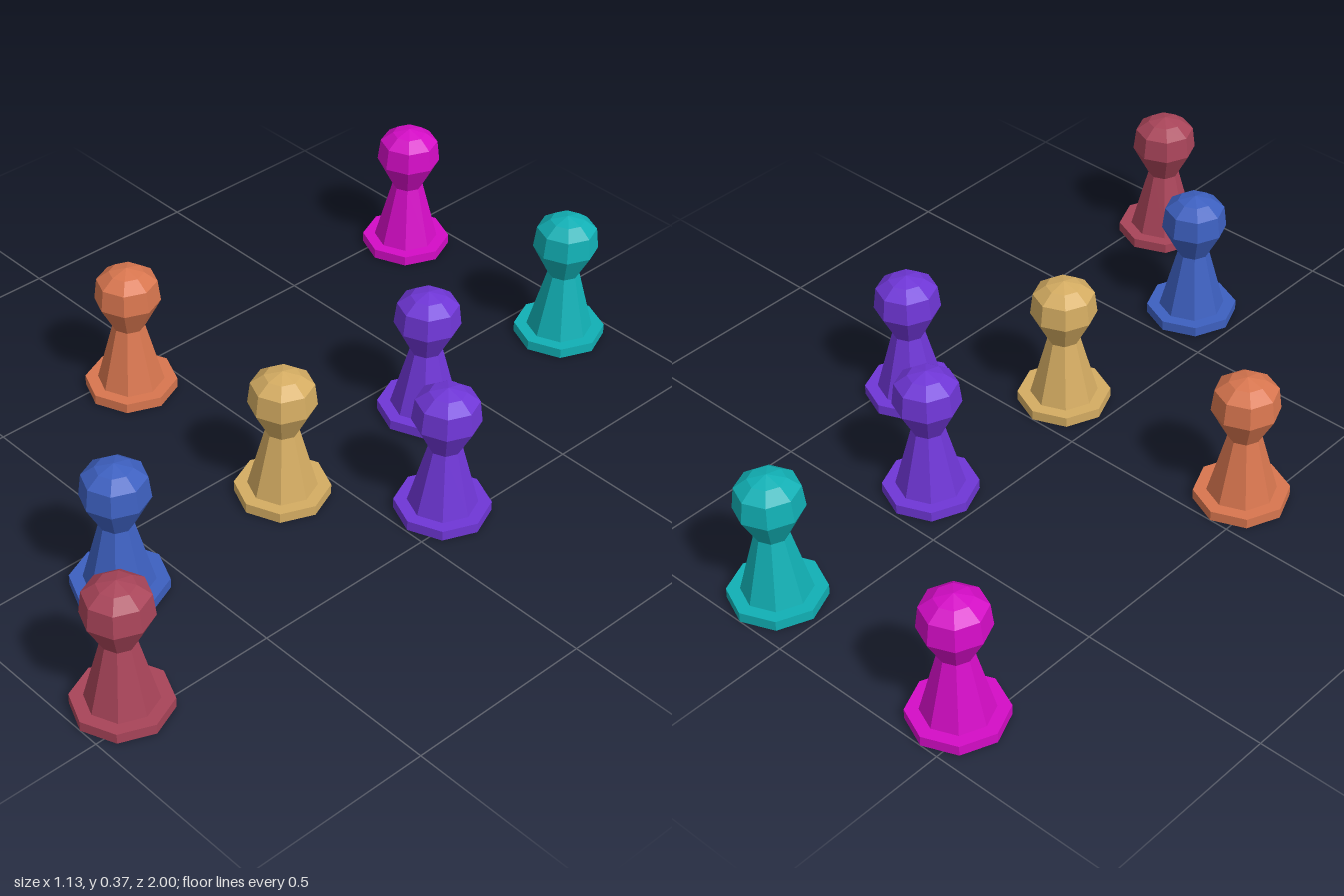
import * as THREE from 'three';

const paint = (name, color) => {
  const m = new THREE.MeshStandardMaterial({ color, flatShading: true });
  m.name = name;
  return m;
};

// Eight-sided turned solid from [radius, height] points, bottom to top
const turned = (points) =>
  new THREE.LatheGeometry(points.map(([r, y]) => new THREE.Vector2(r, y)), 8);

export function createModel() {
  const coral = paint('coral', 0xd8764f);
  const blue = paint('blue', 0x3d60c0);
  const maroon = paint('maroon', 0xa84459);
  const gold = paint('gold', 0xd4ac62);
  const violet = paint('violet', 0x6f36d6);
  const teal = paint('teal', 0x11b0b5);
  const magenta = paint('magenta', 0xd40cc6);
  const felt = paint('dark felt', 0x462549);

  // Shared shapes for every pawn
  const shapes = {
    base: turned([[0.12, 0], [0.12, 0.027], [0.08, 0.027]]),
    body: turned([[0.087, 0.027], [0.042, 0.195]]),
    head: turned([[0.042, 0.195], [0.085, 0.275], [0.078, 0.333], [0.045, 0.358], [0, 0.37]]),
  };
  const underside = new THREE.CircleGeometry(0.12, 8).rotateX(Math.PI / 2);

  // Colour and place of each pawn
  const pawns = [
    [magenta, -0.45, -0.88],
    [teal, 0.135, -0.88],
    [violet, 0.135, -0.37],
    [violet, 0.445, -0.125],
    [coral, -0.45, 0.12],
    [gold, 0.135, 0.12],
    [blue, 0.135, 0.635],
    [maroon, 0.445, 0.88],
  ];

  const model = new THREE.Group();
  model.name = 'pawns';
  for (const [material, x, z] of pawns) {
    const pawn = new THREE.Group();
    pawn.name = `${material.name} pawn`;
    for (const [name, geometry] of Object.entries(shapes)) {
      const mesh = new THREE.Mesh(geometry, material);
      mesh.name = name;
      pawn.add(mesh);
    }
    const sole = new THREE.Mesh(underside, felt);
    sole.name = 'underside';
    pawn.add(sole);
    pawn.position.set(x, 0, z);
    model.add(pawn);
  }
  return model;
}
